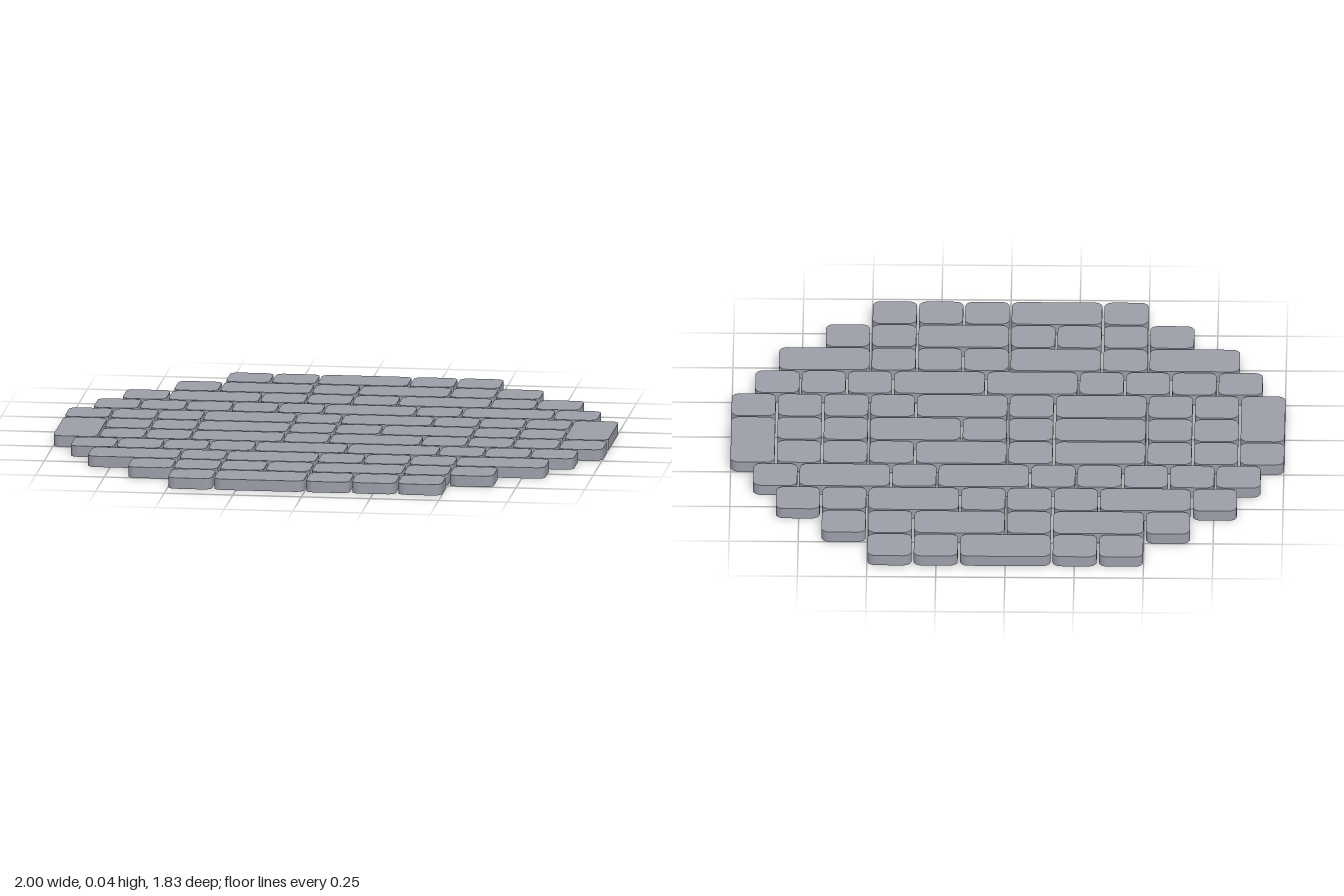
import * as THREE from 'three';
import { toCreasedNormals } from 'three/addons/utils/BufferGeometryUtils.js';

const PITCH = 0.1675, STONE = 0.159, HEIGHT = 0.04, RADIUS = 0.03;

// Each course from back to front: start column, then stone lengths in columns
const COURSES = [
  [3, '11211'],
  [2, '121211'],
  [1, '12111211'],
  [0.5, '111112121'],
  [0, '111212111'],
  [1, '11211211'],
  [1, '112121111'],
  [0.5, '111122111'],
  [1, '2121112'],
  [2, '1111211'],
  [3, '12111'],
];

// Flat paving stone with rounded vertical corners, standing on y = 0
function stoneGeometry(cols, rows) {
  const x = ((cols - 1) * PITCH + STONE) / 2;
  const y = ((rows - 1) * PITCH + STONE) / 2;
  const r = RADIUS, q = Math.PI / 2;
  const s = new THREE.Shape();
  s.absarc(x - r, y - r, r, 0, q);
  s.absarc(r - x, y - r, r, q, 2 * q);
  s.absarc(r - x, r - y, r, 2 * q, 3 * q);
  s.absarc(x - r, r - y, r, 3 * q, 4 * q);
  s.closePath();
  const g = new THREE.ExtrudeGeometry(s, { depth: HEIGHT, bevelEnabled: false, curveSegments: 6 });
  g.rotateX(-q);
  return toCreasedNormals(g, 0.6);
}

export function createModel() {
  const model = new THREE.Group();
  model.name = 'pavingPatch';
  const material = new THREE.MeshStandardMaterial({ color: 0x9b9ea8 });
  const square = stoneGeometry(1, 1), long = stoneGeometry(2, 1), tall = stoneGeometry(1, 2);

  // Grid is 12 columns by 11 rows, centred on the origin
  const place = (parent, name, geometry, col, row, cols, rows) => {
    const stone = new THREE.Mesh(geometry, material);
    stone.name = name;
    stone.position.set((col + cols / 2 - 6) * PITCH, 0, (row + rows / 2 - 5.5) * PITCH);
    parent.add(stone);
  };

  // Straight courses of square and long stones
  COURSES.forEach(([start, lengths], row) => {
    const course = new THREE.Group();
    course.name = `course${row + 1}`;
    let col = start;
    for (const c of lengths) {
      const n = Number(c);
      place(course, n === 2 ? 'longStone' : 'squareStone', n === 2 ? long : square, col, row, n, 1);
      col += n;
    }
    model.add(course);
  });

  // Two stones laid crosswise at the side edges
  place(model, 'leftCrossStone', tall, 11, 4, 1, 2);
  place(model, 'rightCrossStone', tall, 0, 5, 1, 2);
  return model;
}
